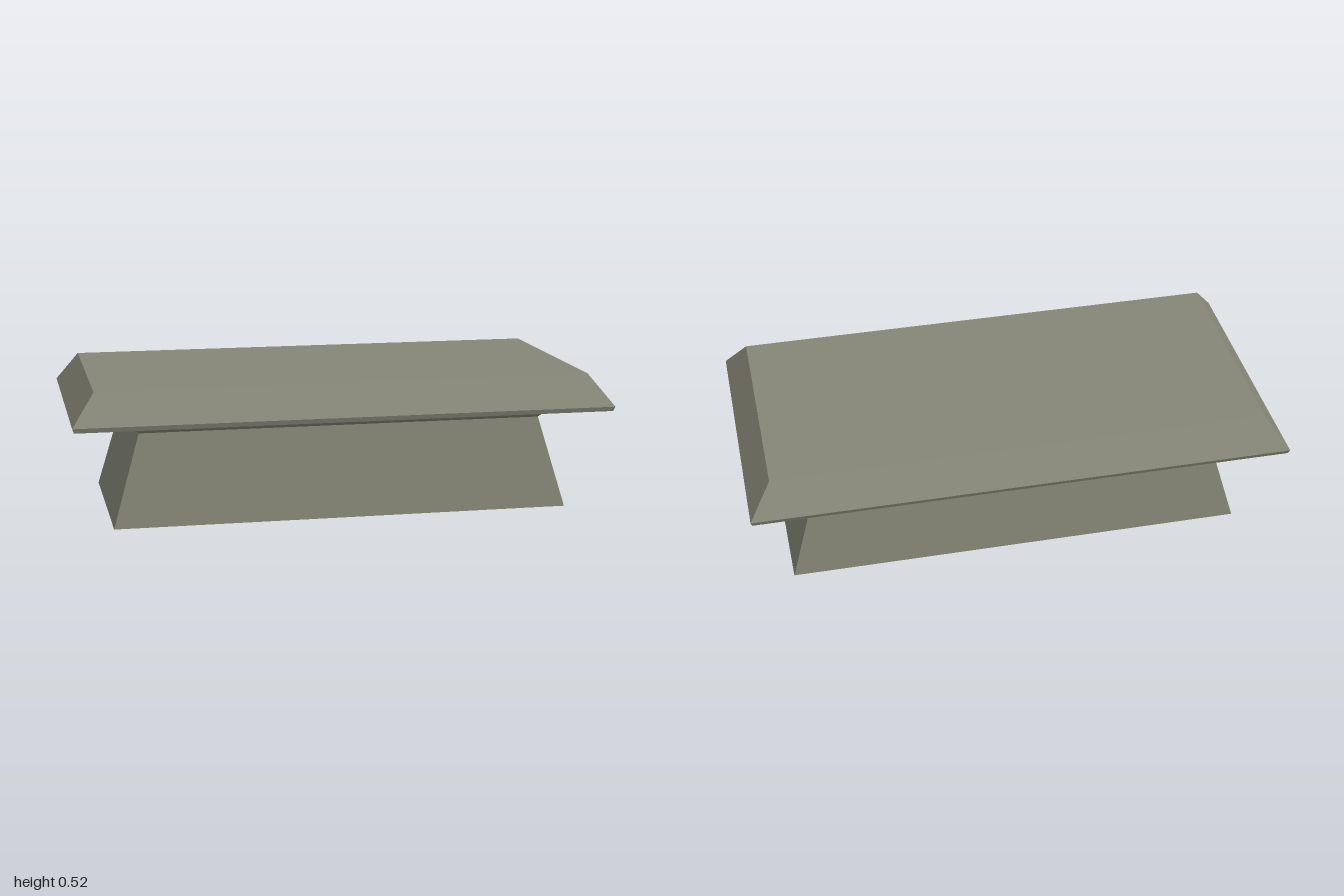
import * as THREE from 'three';

// Stack of rectangular rings [y, x0, x1, z0, z1], bottom to top, capped at both ends.
function loftRects(rings) {
  const pos = [];
  const corners = ([y, x0, x1, z0, z1]) => [[x0, y, z1], [x1, y, z1], [x1, y, z0], [x0, y, z0]];
  const quad = (a, b, c, d) => pos.push(...a, ...b, ...c, ...a, ...c, ...d);
  for (let i = 0; i < rings.length - 1; i++) {
    const lo = corners(rings[i]), hi = corners(rings[i + 1]);
    for (let k = 0; k < 4; k++) {
      const n = (k + 1) % 4;
      quad(lo[k], lo[n], hi[n], hi[k]);
    }
  }
  const bottom = corners(rings[0]), top = corners(rings[rings.length - 1]);
  quad(...bottom.reverse());
  quad(...top);
  const geometry = new THREE.BufferGeometry();
  geometry.setAttribute('position', new THREE.Float32BufferAttribute(pos, 3));
  geometry.computeVertexNormals();
  return geometry;
}

export function createModel() {
  const model = new THREE.Group();
  model.name = 'stoneTable';
  const stone = new THREE.MeshStandardMaterial({ color: 0x858676 });
  stone.name = 'greyStone';

  const add = (name, rings) => {
    const mesh = new THREE.Mesh(loftRects(rings), stone);
    mesh.name = name;
    model.add(mesh);
  };

  // Tapered plinth, pinched at the waist and flaring out under the slab
  add('pedestal', [
    [0, -0.853, 0.857, -0.358, 0.373],
    [0.343, -0.753, 0.758, -0.315, 0.331],
    [0.389, -0.797, 0.802, -0.359, 0.374],
  ]);

  // Overhanging slab with a thin lower lip and a bevelled upper rim
  add('tableSlab', [
    [0.388, -0.994, 0.994, -0.497, 0.499],
    [0.405, -1, 1, -0.504, 0.504],
    [0.519, -0.917, 0.917, -0.423, 0.424],
  ]);
  return model;
}
